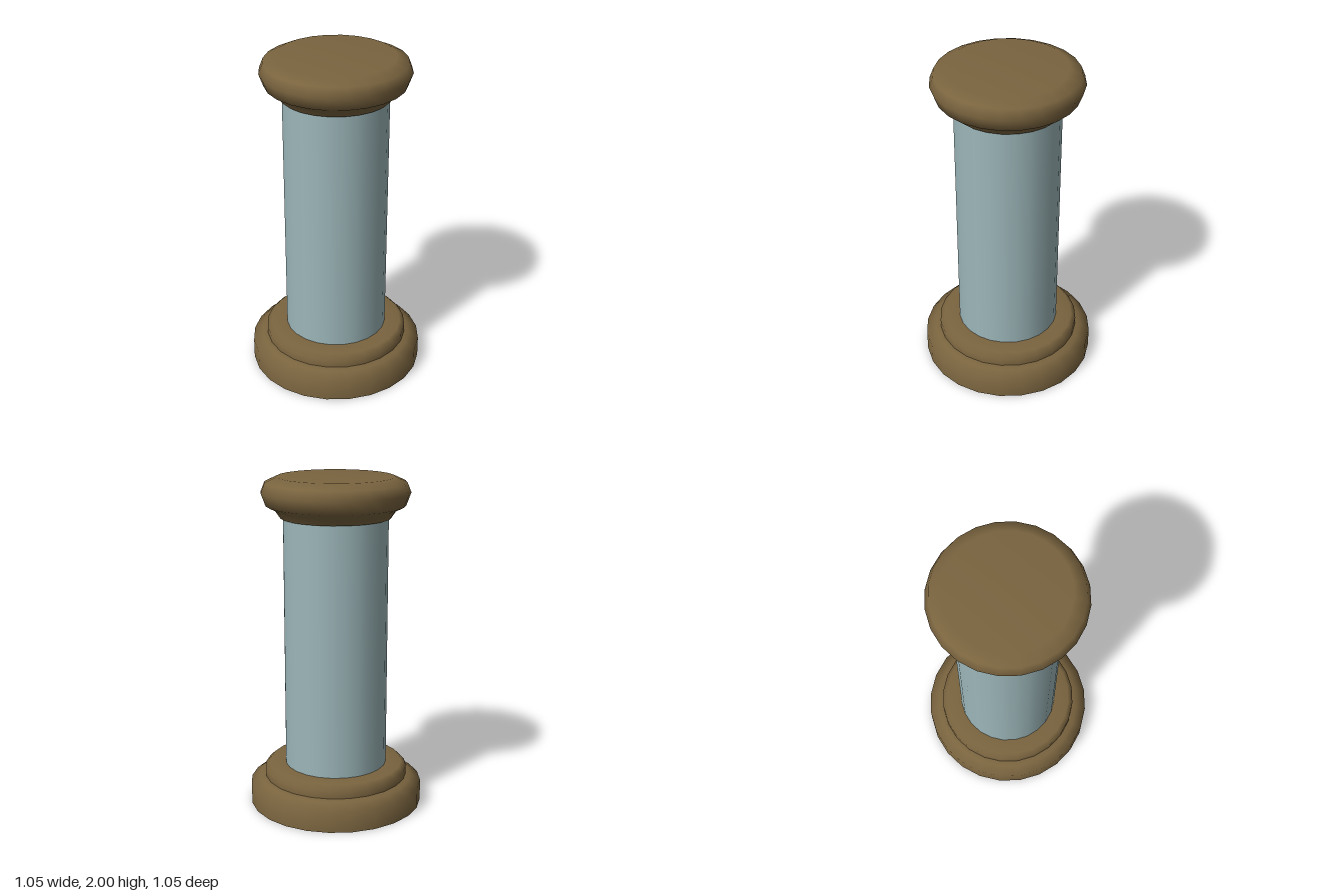
import * as THREE from 'three';

const SIDES = 24;

// Smoothly shaded turned part from a bottom-to-top [radius, y] profile
function turned(name, profile, material) {
  const points = profile.map(([r, y]) => new THREE.Vector2(r, y));
  const mesh = new THREE.Mesh(new THREE.LatheGeometry(points, SIDES), material);
  mesh.name = name;
  return mesh;
}

export function createModel() {
  const stone = new THREE.MeshStandardMaterial({ color: 0x7a643f });
  stone.name = 'brown stone';
  const blue = new THREE.MeshStandardMaterial({ color: 0x9cb6b9 });
  blue.name = 'pale blue stone';

  const column = new THREE.Group();
  column.name = 'column';

  // Plinth: flat underside kept apart for a sharp lower rim
  column.add(
    turned('plinthUnderside', [[0, 0], [0.525, 0]], stone),
    turned('plinth', [[0.525, 0], [0.525, 0.125], [0.467, 0.165], [0.425, 0.175], [0, 0.175]], stone),
  );

  // Collar above the plinth
  column.add(turned('collar', [[0.435, 0.172], [0.435, 0.222], [0.405, 0.25], [0.3, 0.25]], stone));

  // Plain shaft
  column.add(turned('shaft', [[0.31, 0.25], [0.31, 1.765]], blue));

  // Capital: underside, then a rounded cushion with a flat top
  column.add(
    turned('capitalUnderside', [[0.3, 1.762], [0.325, 1.762]], stone),
    turned('capital', [
      [0.325, 1.762], [0.358, 1.81], [0.41, 1.835], [0.438, 1.91],
      [0.415, 1.968], [0.345, 2], [0, 2],
    ], stone),
  );

  return column;
}
